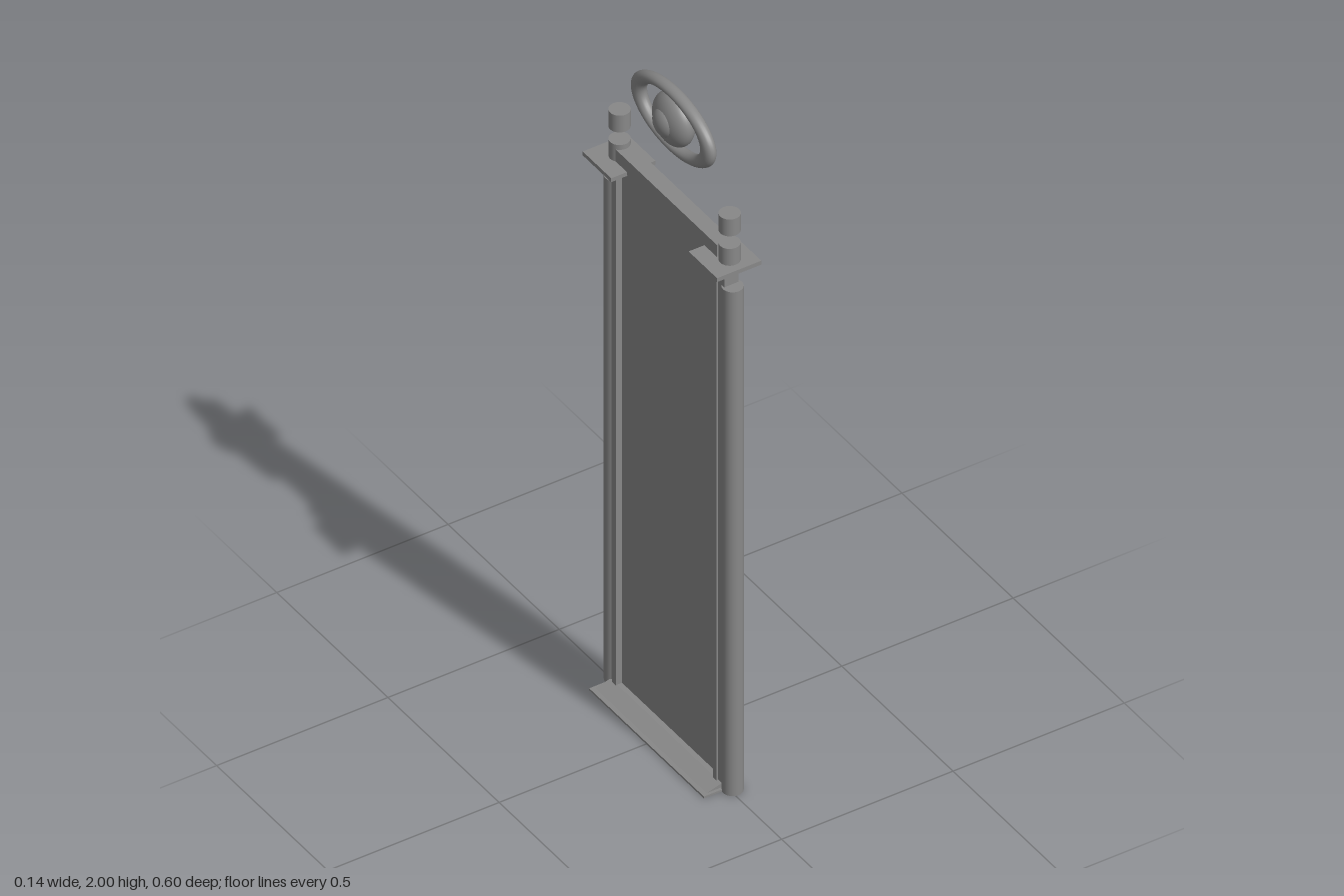
import * as THREE from 'three';

export function createModel() {
  const root = new THREE.Group();
  const mat = new THREE.MeshStandardMaterial({ color: 0x888888 });
  const CX = 0.008; // mid-plane of the screen

  function add(name, geo, x, y, z) {
    const mesh = new THREE.Mesh(geo, mat);
    mesh.name = name;
    mesh.position.set(x, y, z);
    root.add(mesh);
    return mesh;
  }
  // Box from its extents on each axis
  function box(name, x0, x1, y0, y1, z0, z1) {
    return add(name, new THREE.BoxGeometry(x1 - x0, y1 - y0, z1 - z0),
      (x0 + x1) / 2, (y0 + y1) / 2, (z0 + z1) / 2);
  }
  // Upright cylinder from bottom to top
  function rod(name, r, y0, y1, z) {
    return add(name, new THREE.CylinderGeometry(r, r, y1 - y0, 32), CX, (y0 + y1) / 2, z);
  }

  // Recessed panel under a thicker top rail
  box('panel', 0, 0.018, 0.005, 1.63, -0.225, 0.228);
  box('topRail', -0.014, 0.03, 1.625, 1.671, -0.226, 0.23);

  // Sill: thin plate wider on one side, with a sloped curb on top
  box('sillPlate', -0.071, 0.03, 0, 0.006, -0.256, 0.26);
  const curb = new THREE.Shape([[-0.058, 0.006], [0.03, 0.006], [0.03, 0.018], [-0.014, 0.018]]
    .map(([x, y]) => new THREE.Vector2(x, y)));
  add('sillCurb', new THREE.ExtrudeGeometry(curb, { depth: 0.5, bevelEnabled: false }), 0, 0, -0.248);

  // Posts, jambs, cap plates and finials at both ends
  for (const s of [1, -1]) {
    const post = s > 0 ? 0.267 : -0.262;
    const finial = s > 0 ? 0.254 : -0.241;
    const span = (a, b) => (s > 0 ? [a, b] : [-b, -a]);
    rod('post', 0.0275, 0, 1.56, post);
    box('jamb', -0.013, 0.028, 0, 1.626, ...span(0.232, 0.262));
    box('jambBead', -0.018, 0.034, 0, 1.626, ...span(0.218, 0.234));
    box('capPlate', -0.06, 0.069, 1.622, 1.634, ...span(0.174, 0.302));
    rod('lowerFinial', 0.0275, 1.634, 1.686, finial);
    rod('upperFinial', 0.0275, 1.725, 1.777, finial);
  }

  // Floating oval ring
  const ring = add('ring', new THREE.TorusGeometry(0.156, 0.025, 20, 72), CX, 1.904, 0.002);
  ring.rotation.y = Math.PI / 2;
  ring.scale.set(1, 0.53, 0.7);

  // Flattened ball inside the ring, with a bulge on one side
  const ball = add('ball', new THREE.SphereGeometry(0.074, 40, 28), 0.009, 1.904, 0.001);
  ball.scale.x = 0.57;
  const bulge = add('bulge', new THREE.SphereGeometry(0.042, 32, 20), -0.014, 1.904, 0.001);
  bulge.scale.x = 0.7;

  return root;
}
